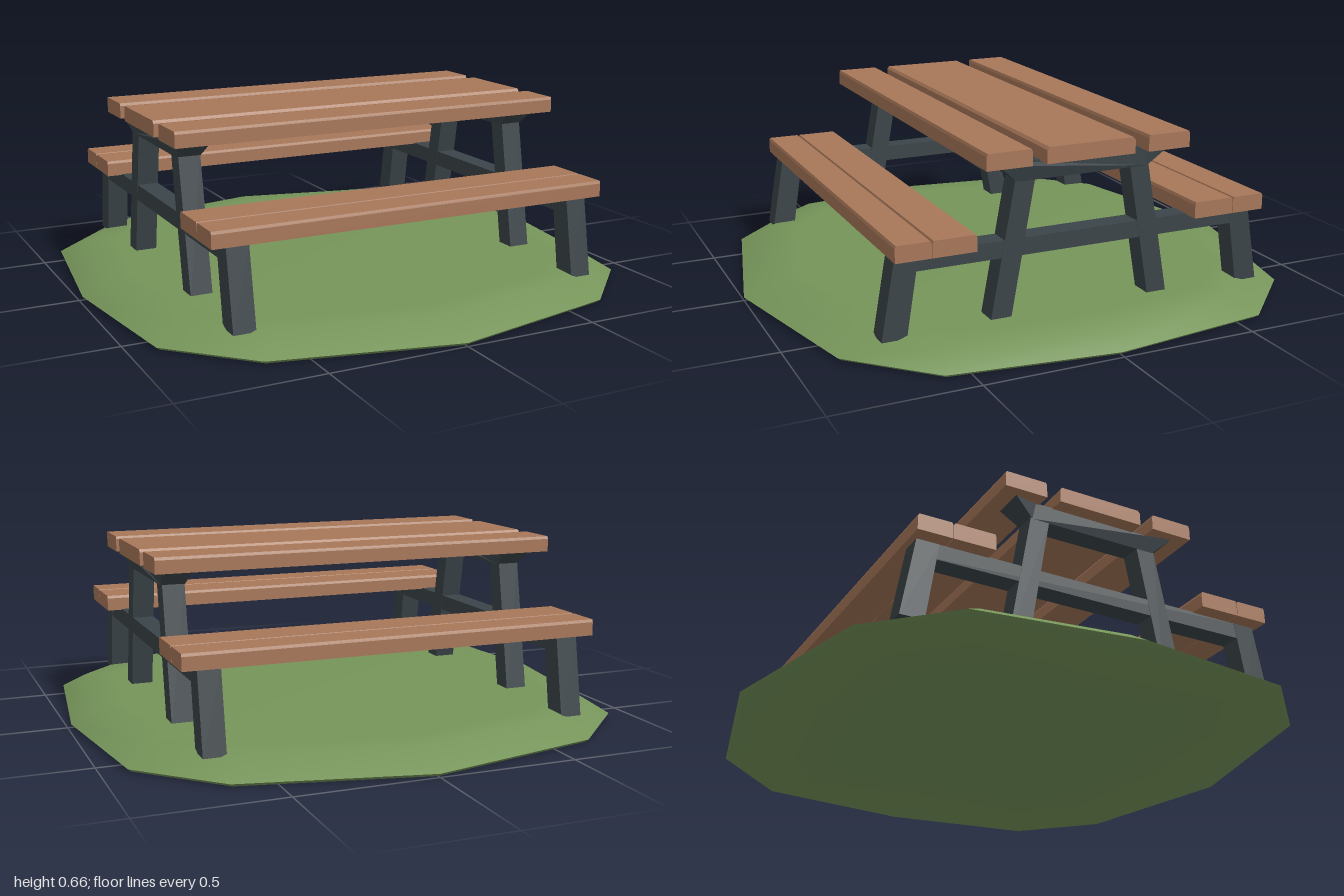
import * as THREE from 'three';
import { toCreasedNormals } from 'three/addons/utils/BufferGeometryUtils.js';

const wood = new THREE.MeshStandardMaterial({ color: 0xa8785a });
const metal = new THREE.MeshStandardMaterial({ color: 0x3b4448 });
const grass = new THREE.MeshStandardMaterial({ color: 0x76955a });
wood.name = 'warm wood';
metal.name = 'dark metal';
grass.name = 'grass green';

function add(parent, name, geometry, material) {
  const mesh = new THREE.Mesh(geometry, material);
  mesh.name = name;
  parent.add(mesh);
  return mesh;
}

// Side profile given as [z, y] points, extruded along x and centred on x = 0
function profile(points, width) {
  const shape = new THREE.Shape(points.map(([z, y]) => new THREE.Vector2(z, y)));
  const g = new THREE.ExtrudeGeometry(shape, { depth: width, bevelEnabled: false });
  return g.translate(0, 0, -width / 2).rotateY(-Math.PI / 2);
}

// Plank with slightly narrowed top edges
function plank(parent, name, z0, z1, y0, y1, in0 = 0.004, in1 = 0.004) {
  const pts = [[z0, y0], [z1, y0], [z1, y1 - 0.01], [z1 - in1, y1], [z0 + in0, y1], [z0, y1 - 0.01]];
  add(parent, name, profile(pts, 1.51), wood);
}

// Low mound built from rings around a many-sided outline
function moundGeometry() {
  const quarter = [[0, 1], [0.65, 0.853], [0.912, 0.59], [0.987, 0]];
  const outline = [
    ...quarter,
    ...quarter.slice(0, 3).reverse().map(([x, z]) => [x, -z]),
    ...quarter.slice(1).map(([x, z]) => [-x, -z]),
    ...quarter.slice(1, 3).reverse().map(([x, z]) => [-x, z]),
  ];
  const rings = [[0, 0, 0], [0.985, 0.985, 0], [1, 1, 0.012], [0.91, 0.87, 0.07], [0.8, 0.78, 0.074], [0, 0, 0.074]];
  const n = outline.length, pos = [], index = [];
  for (const [sx, sz, y] of rings) for (const [x, z] of outline) pos.push(x * sx, y, z * sz);
  for (let r = 0; r < rings.length - 1; r++) {
    for (let i = 0; i < n; i++) {
      const j = (i + 1) % n, a = r * n + i, b = r * n + j, c = a + n, d = b + n;
      if (r > 0) index.push(a, b, d);
      else index.push(a, d, c);
      if (r > 0 && r < rings.length - 2) index.push(a, d, c);
    }
  }
  const g = new THREE.BufferGeometry();
  g.setAttribute('position', new THREE.Float32BufferAttribute(pos, 3));
  g.setIndex(index);
  return toCreasedNormals(g, 0.8);
}

// Bar under the tabletop, flaring wider at its two upper ends
function topBarGeometry() {
  const g = profile([[-0.245, 0.54], [0.245, 0.54], [0.32, 0.606], [0.23, 0.606], [-0.23, 0.606], [-0.32, 0.606]], 0.08);
  const p = g.attributes.position;
  for (let i = 0; i < p.count; i++) {
    if (Math.abs(p.getZ(i)) > 0.3) p.setX(i, Math.sign(p.getX(i)) * 0.06);
  }
  g.computeVertexNormals();
  return g;
}

function endFrame(x) {
  const frame = new THREE.Group();
  frame.name = 'endFrame';
  frame.position.x = x;
  for (const s of [1, -1]) {
    const side = (pts) => profile(pts.map(([z, y]) => [z * s, y]), 0.08);
    add(frame, 'tableLeg', side([[0.265, 0.06], [0.34, 0.06], [0.25, 0.55], [0.178, 0.55]]), metal);
    add(frame, 'benchLeg', side([[0.635, 0.06], [0.722, 0.06], [0.672, 0.342], [0.59, 0.342]]), metal);
  }
  add(frame, 'crossBar', profile([[-0.66, 0.285], [0.66, 0.285], [0.66, 0.345], [-0.66, 0.345]], 0.078), metal);
  add(frame, 'topBar', topBarGeometry(), metal);
  return frame;
}

export function createModel() {
  const model = new THREE.Group();
  model.name = 'picnicTable';
  add(model, 'grassMound', moundGeometry(), grass);
  model.add(endFrame(0.66), endFrame(-0.66));

  // Tabletop planks
  plank(model, 'tablePlankMiddle', -0.165, 0.163, 0.603, 0.66, 0.008, 0.008);
  plank(model, 'tablePlankFront', 0.215, 0.377, 0.603, 0.66);
  plank(model, 'tablePlankBack', -0.377, -0.217, 0.603, 0.66);

  // Bench seats, each of two planks
  plank(model, 'benchPlankFrontInner', 0.41, 0.564, 0.342, 0.4);
  plank(model, 'benchPlankFrontOuter', 0.566, 0.69, 0.342, 0.4);
  plank(model, 'benchPlankBackInner', -0.566, -0.412, 0.342, 0.4);
  plank(model, 'benchPlankBackOuter', -0.693, -0.568, 0.342, 0.4);
  return model;
}
